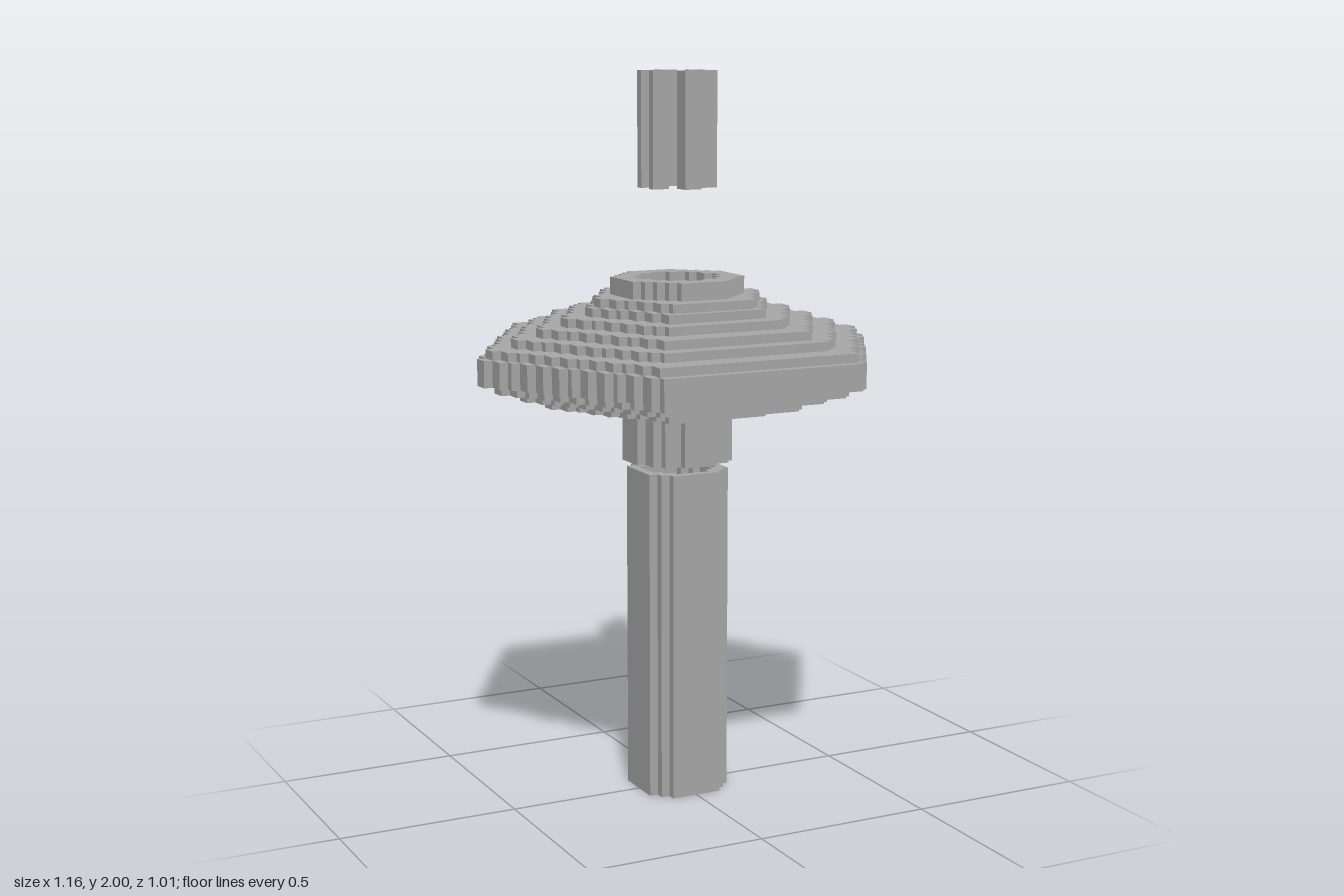
import * as THREE from 'three';

const U = 2 / 83; // edge of one cell

// Half width, in cells, of row k of a stepped disc or hexagon
const disc = (r2) => (k) => {
  const z = k + 0.5;
  return z * z < r2 ? Math.floor(Math.sqrt(r2 - z * z) + 0.5) : 0;
};
const hexagon = (r) => (k) => {
  const z = k + 0.5;
  return z < r * 0.866 ? Math.floor(r - z / Math.sqrt(3) + 0.5) : 0;
};

// Staircase outline, one quadrant mirrored into four
function outline(row) {
  const q = [];
  for (let k = 0; row(k) > 0; k++) {
    const a = row(k), b = row(k + 1);
    if (a === b) continue;
    q.push([a, k + 1]);
    if (b > 0) q.push([b, k + 1]);
  }
  const r = [...q].reverse();
  const pts = [
    ...q,
    ...r.map(([x, z]) => [-x, z]),
    ...q.map(([x, z]) => [-x, -z]),
    ...r.map(([x, z]) => [x, -z]),
  ];
  return pts.map(([x, z]) => new THREE.Vector2(x * U, z * U));
}

export function createModel() {
  const model = new THREE.Group();
  model.name = 'hexagonalPedestal';
  const stone = new THREE.MeshStandardMaterial({ color: 0xa8a8a8 });
  stone.name = 'grey stone';

  const add = (name, geometry, parent = model) => {
    const mesh = new THREE.Mesh(geometry, stone);
    mesh.name = name;
    parent.add(mesh);
    return mesh;
  };

  // Stepped slab between two cell heights, optionally hollow
  const slab = (name, row, y0, y1, hole, parent) => {
    const shape = new THREE.Shape(outline(row));
    if (hole) shape.holes.push(new THREE.Path(outline(hole)));
    const geometry = new THREE.ExtrudeGeometry(shape, { depth: (y1 - y0) * U, bevelEnabled: false });
    geometry.rotateX(-Math.PI / 2).translate(0, y0 * U, 0);
    return add(name, geometry, parent);
  };

  // Hollow stem, with a one-cell gap below the collar
  slab('stem', disc(28), 0, 38, disc(17));
  slab('collar', disc(36), 39, 45);

  // Terraced hexagonal head: [radius, bottom, top]
  const head = new THREE.Group();
  head.name = 'terracedHead';
  model.add(head);
  [
    [11, 45, 46], [16, 46, 47], [19, 47, 48], [22, 48, 49],
    [24, 49, 52],
    [23, 52, 53], [20, 53, 54], [17, 54, 55], [14, 55, 56], [11, 56, 57], [10, 57, 58],
  ].forEach(([r, y0, y1], i) => slab('terrace' + (i + 1), hexagon(r), y0, y1, null, head));

  // Raised rim around the shallow recess on top
  slab('topRing', disc(49), 58, 60, disc(21));

  // Six floating bars in a circle
  const bars = new THREE.Group();
  bars.name = 'floatingBars';
  model.add(bars);
  for (const s of [-1, 1]) {
    const y = 76.5 * U;
    add('centreBar', new THREE.BoxGeometry(2 * U, 13 * U, 2 * U), bars).position.set(0, y, s * 3 * U);
    for (const x of [-3, 3]) {
      add('sideBar', new THREE.BoxGeometry(2 * U, 13 * U, U), bars).position.set(x * U, y, s * 1.5 * U);
    }
  }
  return model;
}
